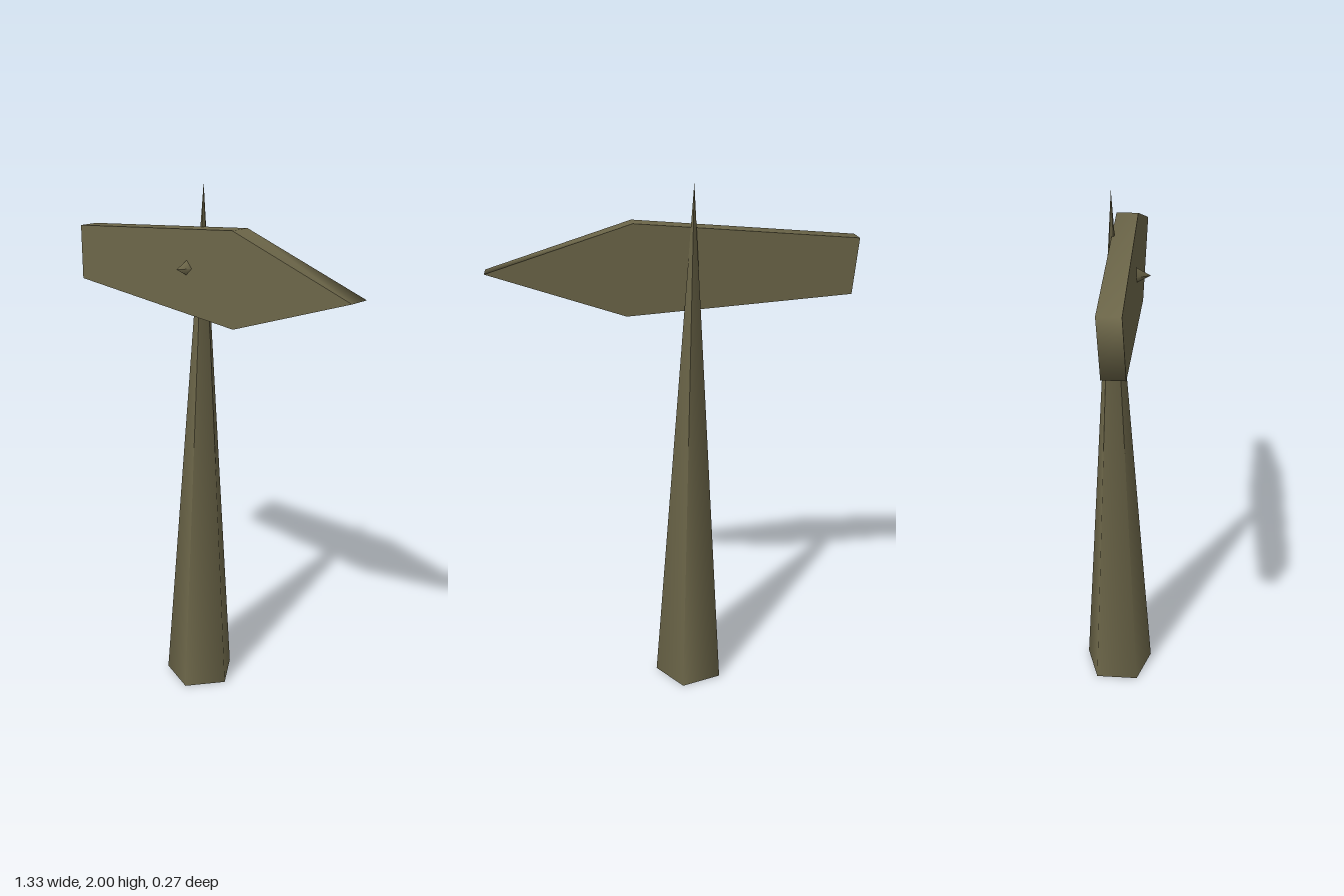
import * as THREE from 'three';

const wood = new THREE.MeshStandardMaterial({ color: 0x6b6548 });
wood.name = 'weathered wood';

function addPart(group, name, geometry) {
  const mesh = new THREE.Mesh(geometry, wood);
  mesh.name = name;
  group.add(mesh);
  return mesh;
}

// Arrow-shaped slab: flat faces, with the rim shaded smoothly around its corners
function arrowGeometry(outline, frontZ, thickness, lean) {
  const n = outline.length;
  const positions = [];
  const index = [];
  // Rings 0 and 1 carry the rim, rings 2 and 3 the flat faces
  for (let ring = 0; ring < 4; ring++) {
    for (const [x, y] of outline) {
      positions.push(x, y, frontZ - (ring % 2) * thickness - lean * (y - 1.7));
    }
  }
  for (let i = 0; i < n; i++) {
    const j = (i + 1) % n;
    index.push(i, n + i, n + j, i, n + j, j);
  }
  for (let i = 1; i < n - 1; i++) {
    index.push(2 * n, 2 * n + i, 2 * n + i + 1);
    index.push(3 * n, 3 * n + i + 1, 3 * n + i);
  }
  const geometry = new THREE.BufferGeometry();
  geometry.setAttribute('position', new THREE.Float32BufferAttribute(positions, 3));
  geometry.setIndex(index);
  geometry.computeVertexNormals();
  return geometry;
}

export function createModel() {
  const group = new THREE.Group();
  group.name = 'signpost';

  // Five-sided tapering post, its point leaning slightly back
  const post = new THREE.CylinderGeometry(0, 0.14, 2, 5, 1, false, Math.PI / 2);
  post.translate(0, 1, 0);
  const p = post.attributes.position;
  for (let i = 0; i < p.count; i++) p.setZ(i, p.getZ(i) - 0.013 * p.getY(i));
  addPart(group, 'post', post).position.x = -0.067;

  // Arrow board, listed counter-clockwise from the upper left
  const outline = [[-0.663, 1.797], [-0.65, 1.592], [0.17, 1.532], [0.662, 1.7], [0.145, 1.865]];
  addPart(group, 'arrowBoard', arrowGeometry(outline, 0.062, 0.077, 0.057));

  // Four-sided nail point in front of the board
  const nail = new THREE.ConeGeometry(0.03, 0.055, 4);
  nail.rotateX(Math.PI / 2);
  addPart(group, 'nail', nail).position.set(-0.068, 1.712, 0.082);

  return group;
}
